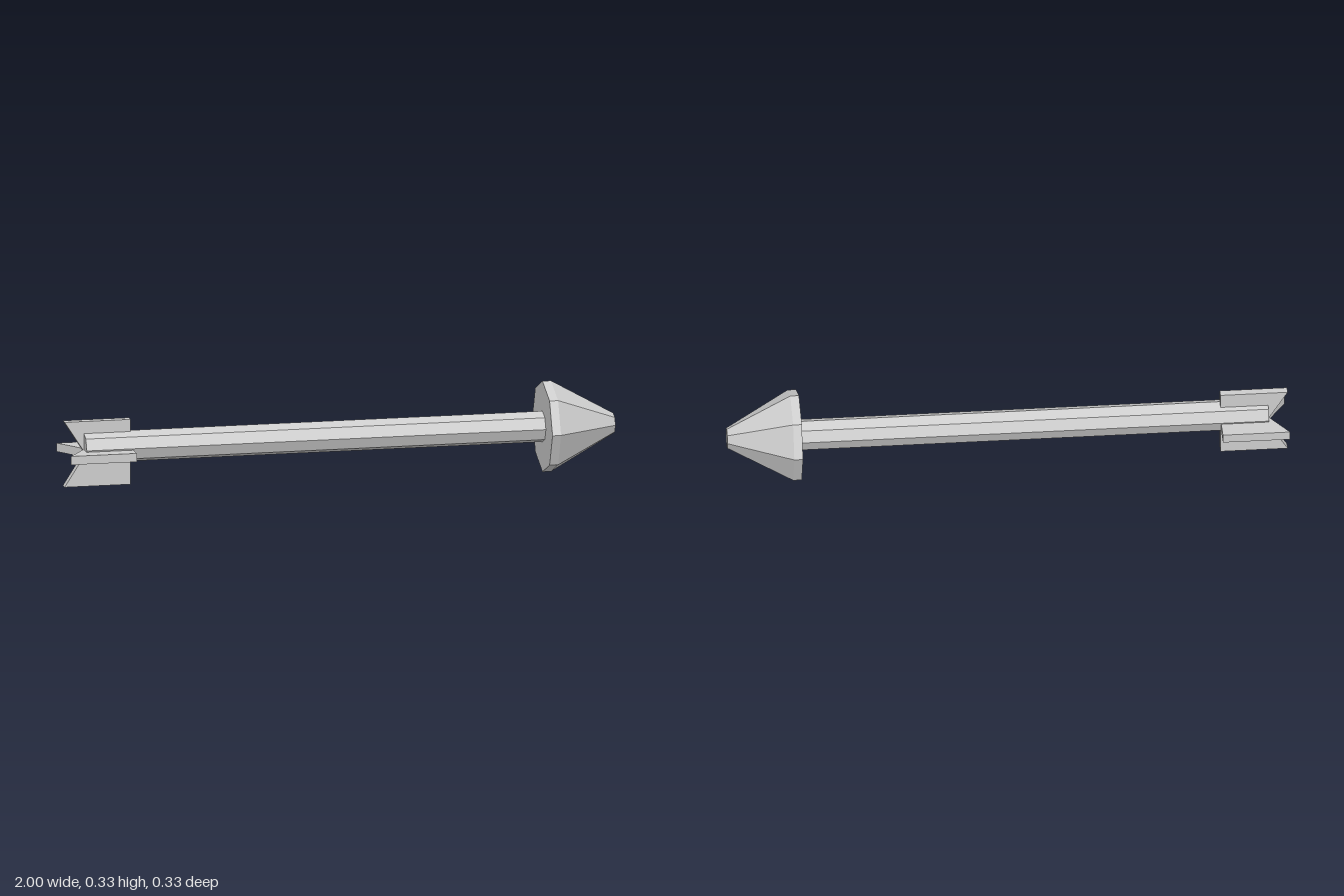
import * as THREE from 'three';

const AXIS_Y = 0.166;

export function createModel() {
  const group = new THREE.Group();
  const material = new THREE.MeshStandardMaterial({ color: 0xcccccc, flatShading: true });

  const add = (name, geometry, y = AXIS_Y, z = 0) => {
    const mesh = new THREE.Mesh(geometry, material);
    mesh.name = name;
    mesh.position.set(0, y, z);
    group.add(mesh);
    return mesh;
  };

  // Eight-sided solid turned around the x axis, from [x, radius] pairs
  const turned = (profile) => {
    const points = profile.map(([x, r]) => new THREE.Vector2(r, x));
    return new THREE.LatheGeometry(points, 8).rotateZ(-Math.PI / 2);
  };

  // Shaft with closed ends
  add('shaft', turned([[-0.93, 0], [-0.93, 0.056], [0.75, 0.056], [0.75, 0]]));

  // Blunt head: short rim, then a taper to a small flat tip
  add('head', turned([[0.742, 0], [0.742, 0.165], [0.773, 0.165], [1, 0.037], [1, 0]]));

  // Crossed tail fins, notched at the rear and set slightly off the shaft axis
  const outline = new THREE.Shape([
    [-1, -0.118], [-0.76, -0.118], [-0.76, 0.118], [-1, 0.118], [-0.924, 0],
  ].map(([x, y]) => new THREE.Vector2(x, y)));
  const thickness = 0.031;
  const finGeometry = new THREE.ExtrudeGeometry(outline, { depth: thickness, bevelEnabled: false });
  finGeometry.translate(0, 0, -thickness / 2);
  add('verticalFin', finGeometry, 0.145, -0.008);
  add('horizontalFin', finGeometry, 0.145, -0.008).rotation.x = Math.PI / 2;

  return group;
}
